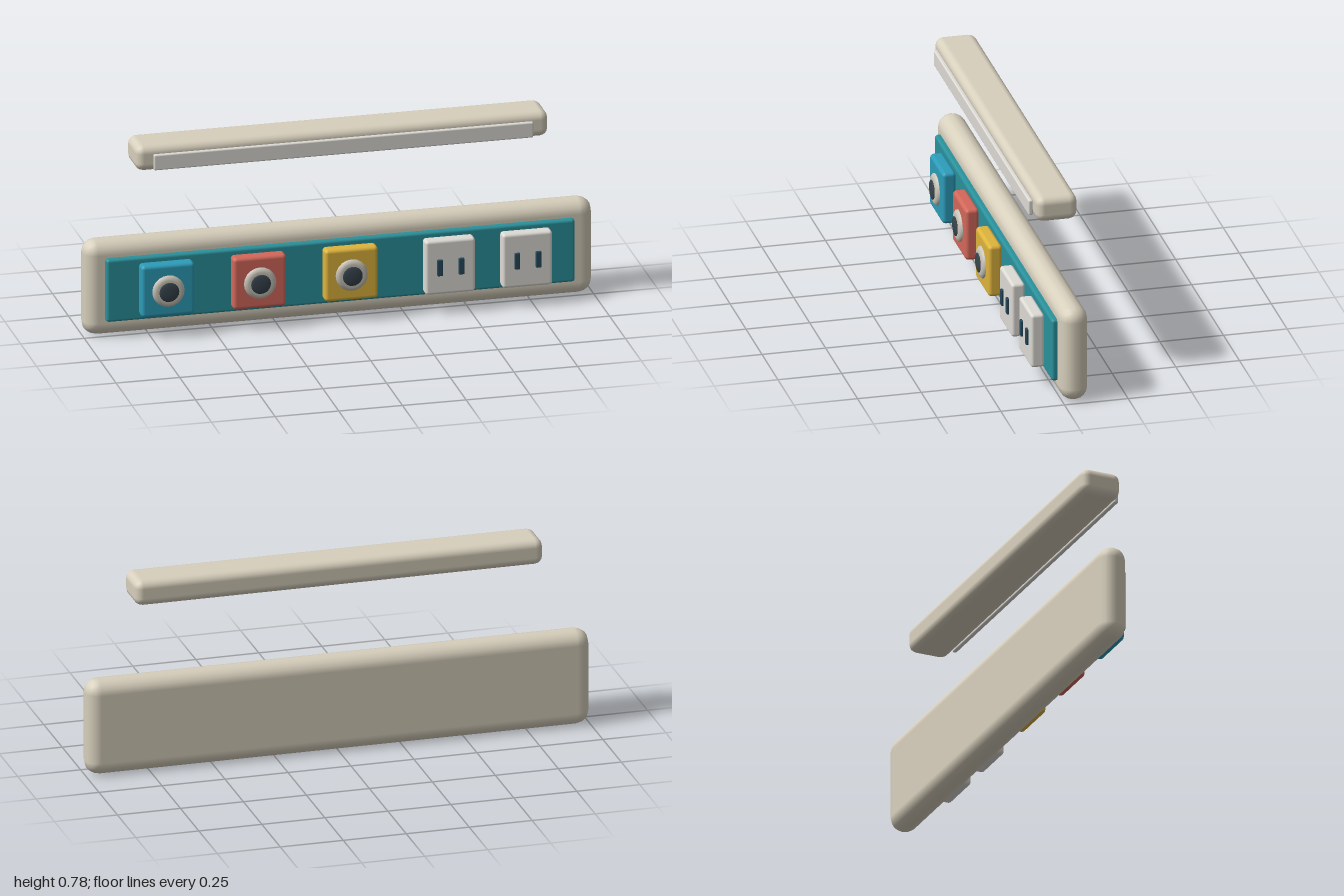
import * as THREE from 'three';
import { RoundedBoxGeometry } from 'three/addons/geometries/RoundedBoxGeometry.js';

const mat = (color) => new THREE.MeshStandardMaterial({ color });
const cream = mat(0xd8d0bd), white = mat(0xdedbd5), teal = mat(0x2a919c);
const ringGrey = mat(0xc9c4b8), dark = mat(0x37444c), slotBlue = mat(0x24485a);

export function createModel() {
  const model = new THREE.Group();

  const add = (name, geometry, material, x, y, z, parent = model) => {
    const mesh = new THREE.Mesh(geometry, material);
    mesh.name = name;
    mesh.position.set(x, y, z);
    parent.add(mesh);
    return mesh;
  };
  // Softened box given by its centre in x and its y and z ranges
  const slab = (name, material, x, width, [y0, y1], [z0, z1], radius, parent) =>
    add(name, new RoundedBoxGeometry(width, y1 - y0, z1 - z0, 2, radius), material,
      x, (y0 + y1) / 2, (z0 + z1) / 2, parent);

  // Lower housing with its inset face
  slab('housing', cream, 0, 2, [0, 0.385], [-0.102, 0.008], 0.055);
  slab('facePanel', teal, 0, 1.84, [0.066, 0.321], [-0.01, 0.03], 0.012);

  // Upper rail and its front strip
  slab('upperRail', cream, 0, 1.62, [0.677, 0.78], [-0.102, 0.06], 0.032);
  slab('railStrip', white, 0, 1.49, [0.686, 0.749], [0.059, 0.077], 0.006);

  // Coloured tiles, each with a domed collar and a dark button
  const collar = new THREE.LatheGeometry(
    [[0.064, -0.006], [0.063, 0.004], [0.055, 0.011], [0.045, 0.014], [0, 0.014]]
      .map(([r, h]) => new THREE.Vector2(r, h)), 20).rotateX(Math.PI / 2);
  const button = new THREE.SphereGeometry(0.039, 20, 10)
    .rotateX(Math.PI / 2).scale(1, 1, 0.15);
  [[-0.69, 0x2c9dba], [-0.33, 0xd4685a], [0.03, 0xdeb43c]].forEach(([x, color]) => {
    const tile = new THREE.Group();
    tile.name = 'buttonTile';
    model.add(tile);
    slab('tile', mat(color), x, 0.21, [0.09, 0.301], [0.026, 0.081], 0.015, tile);
    add('collar', collar, ringGrey, x, 0.194, 0.081, tile);
    add('button', button, dark, x, 0.194, 0.097, tile);
  });

  // White sockets with two upright slots
  for (const x of [0.417, 0.72]) {
    const socket = new THREE.Group();
    socket.name = 'socket';
    model.add(socket);
    slab('socketPlate', white, x, 0.196, [0.084, 0.303], [0.032, 0.085], 0.012, socket);
    for (const side of [-1, 1])
      slab('socketSlot', slotBlue, x + side * 0.042, 0.022, [0.161, 0.227], [0.078, 0.094], 0.004, socket);
  }
  return model;
}
